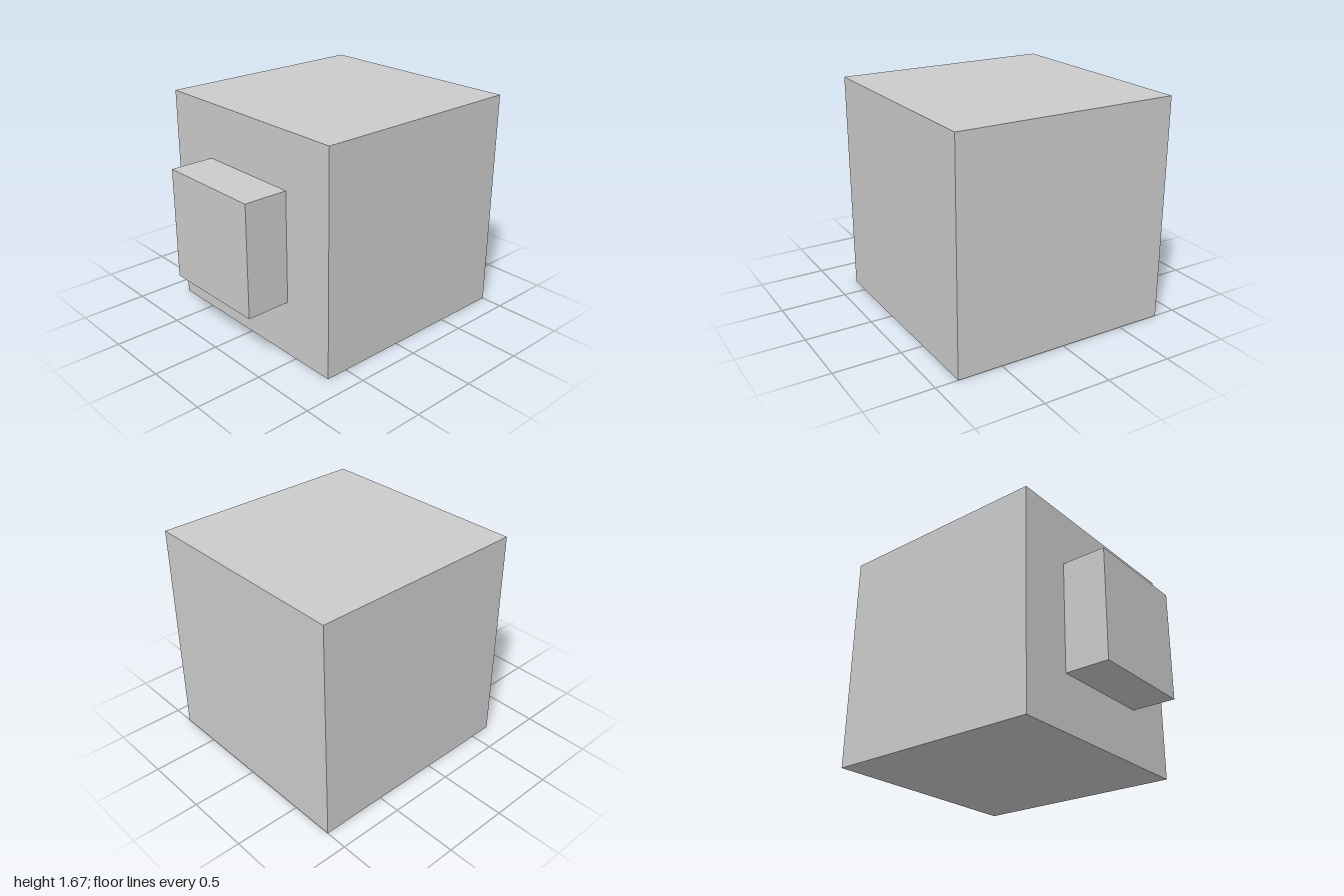
import * as THREE from 'three';

const SIZE = 5 / 3;      // edge of the large cube
const BOSS = SIZE / 2;   // edge of the square block on the front
const DEPTH = 1 / 3;     // how far the block stands out

export function createModel() {
  const group = new THREE.Group();
  group.name = 'cubeWithFrontBlock';
  const material = new THREE.MeshStandardMaterial({ color: 0xcccccc, flatShading: true });

  function addBox(name, w, h, d, z) {
    const mesh = new THREE.Mesh(new THREE.BoxGeometry(w, h, d), material);
    mesh.name = name;
    mesh.position.set(0, SIZE / 2, z);
    group.add(mesh);
  }

  // Main cube, its back at z = -1
  addBox('body', SIZE, SIZE, SIZE, -1 + SIZE / 2);
  // Square block centred on the front face, ending at z = 1
  addBox('frontBlock', BOSS, BOSS, DEPTH, 1 - DEPTH / 2);

  return group;
}
